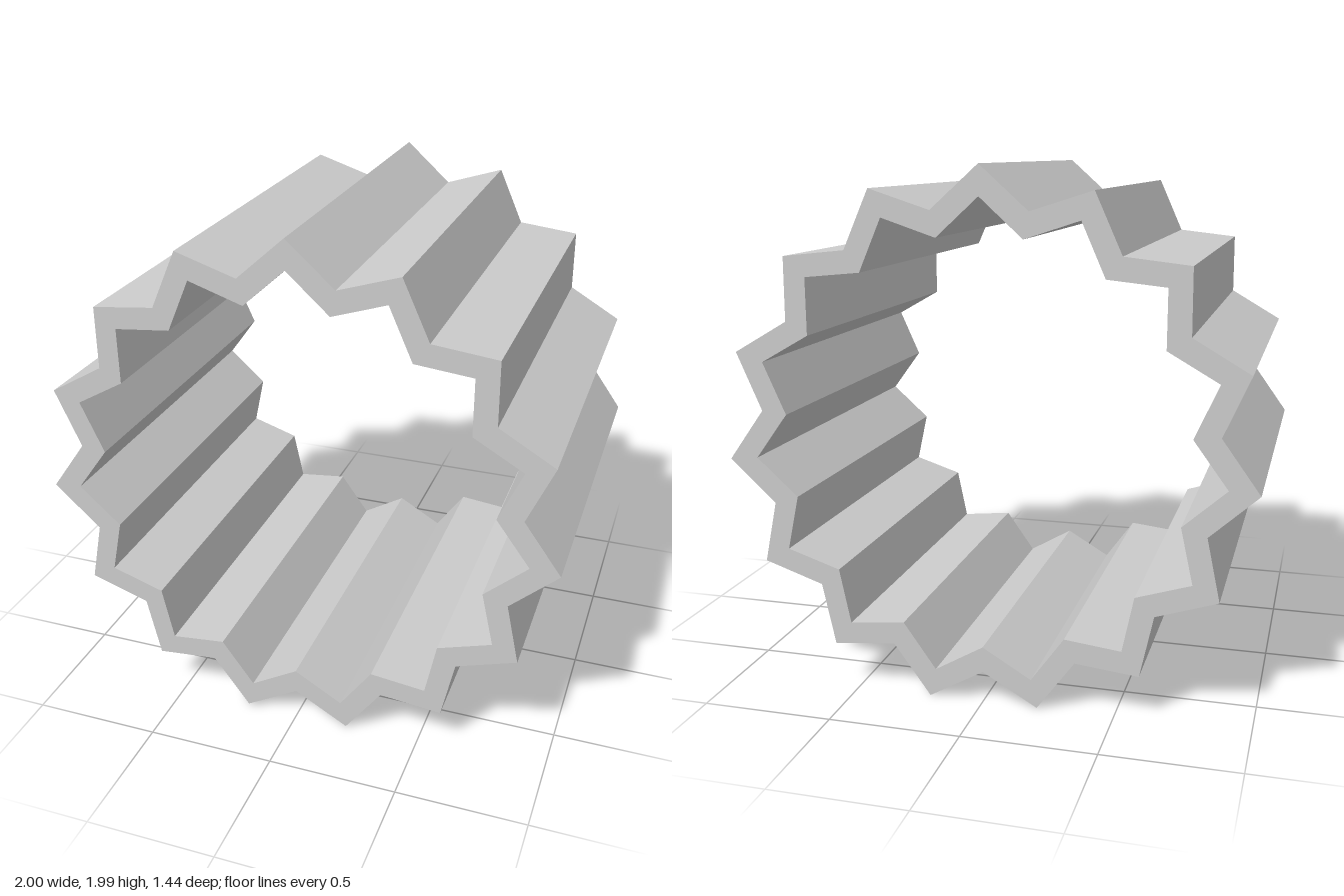
import * as THREE from 'three';

const TEETH = 15;
const DEPTH = 1.436;
const OUTER_PEAK = 1.0055;
const CENTRE_Y = OUTER_PEAK * Math.cos(Math.PI / TEETH); // lowest two ridges rest on the ground

// Closed counter-clockwise zigzag ring, alternating ridge and groove, with one ridge at the top
function zigzag(peak, valley) {
  const points = [];
  for (let i = 0; i < TEETH * 2; i++) {
    const a = (i * Math.PI) / TEETH;
    const r = i % 2 ? valley : peak;
    points.push(new THREE.Vector2(-r * Math.sin(a), r * Math.cos(a)));
  }
  return points;
}

export function createModel() {
  const group = new THREE.Group();
  group.name = 'corrugatedTube';

  // Star-shaped wall, open at both ends
  const shape = new THREE.Shape(zigzag(OUTER_PEAK, 0.864));
  shape.holes.push(new THREE.Path(zigzag(0.894, 0.766)));
  const geometry = new THREE.ExtrudeGeometry(shape, { depth: DEPTH, bevelEnabled: false });
  geometry.translate(0, CENTRE_Y, -DEPTH / 2);

  const material = new THREE.MeshStandardMaterial({ color: 0xcccccc, flatShading: true });
  const wall = new THREE.Mesh(geometry, material);
  wall.name = 'pleatedWall';
  group.add(wall);
  return group;
}
